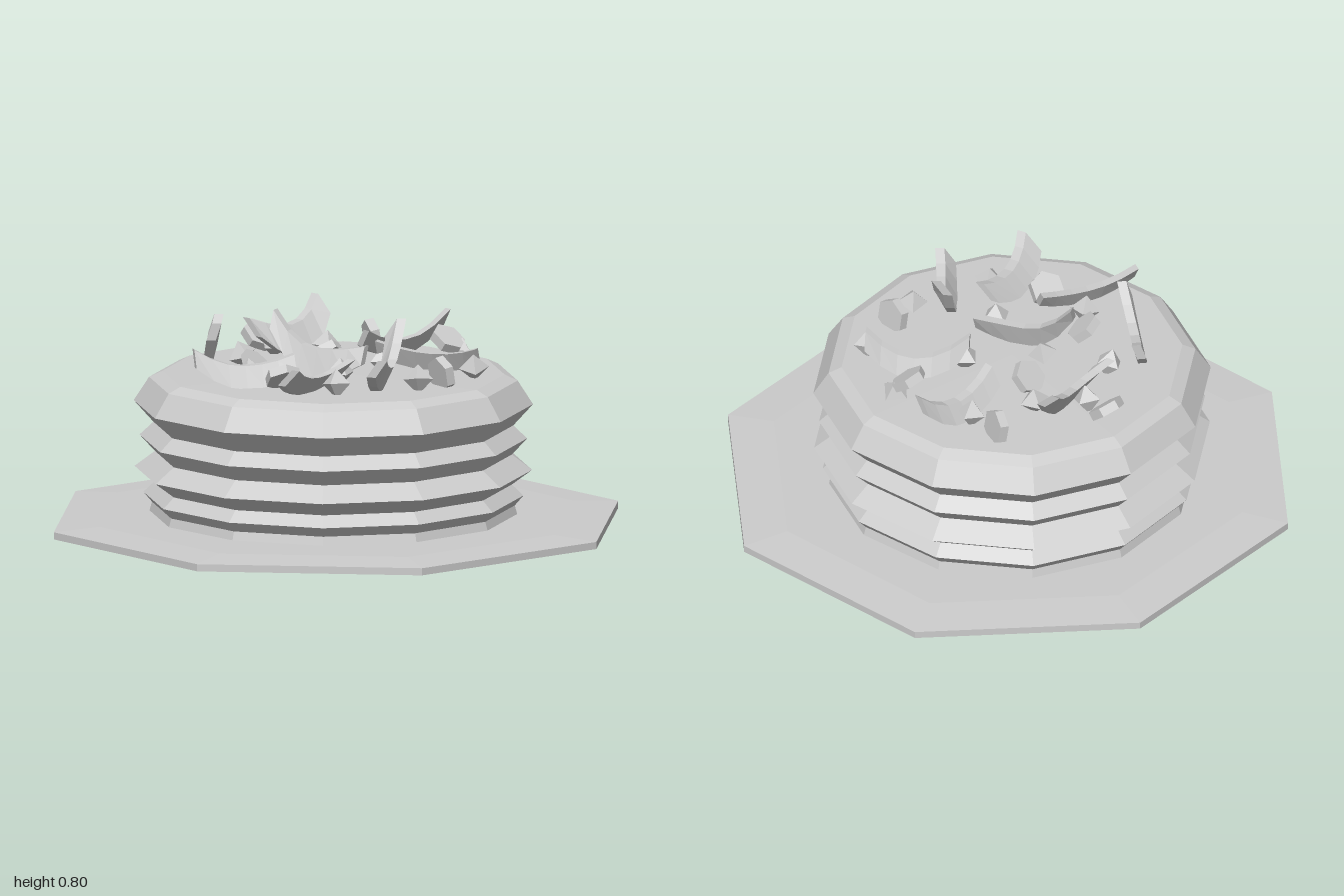
import * as THREE from 'three';

const material = new THREE.MeshStandardMaterial({ color: 0xcccccc, flatShading: true, side: THREE.DoubleSide });

function add(parent, name, geometry) {
  const mesh = new THREE.Mesh(geometry, material);
  mesh.name = name;
  parent.add(mesh);
  return mesh;
}

const lathe = (points, sides, start = 0) =>
  new THREE.LatheGeometry(points.map(([r, y]) => new THREE.Vector2(r, y)), sides, start);

// Upturned curved shaving between two raised ends [x, z, top y]
function shavingGeometry(a, b, bow, lean, midTop) {
  const steps = 6, thick = 0.032, pos = [], index = [];
  const dx = b[0] - a[0], dz = b[1] - a[1], len = Math.hypot(dx, dz);
  const nx = -dz / len, nz = dx / len;
  for (let i = 0; i <= steps; i++) {
    const t = i / steps, s = (2 * t - 1) ** 2;
    const end = t < 0.5 ? a[2] : b[2];
    const top = midTop + (end - midTop) * s;
    const bottom = 0.575 + (end - 0.06 - 0.575) * s;
    const side = bow * (1 - s);
    for (const [u, v] of [[-1, 0], [1, 0], [1, 1], [-1, 1]]) {
      const off = side + u * thick / 2 + (v - 0.5) * lean;
      pos.push(a[0] + dx * t + nx * off, v ? top : bottom, a[1] + dz * t + nz * off);
    }
  }
  for (let i = 0; i < steps; i++) {
    for (let k = 0; k < 4; k++) {
      const p = i * 4 + k, q = i * 4 + (k + 1) % 4;
      index.push(p, q, p + 4, q, q + 4, p + 4);
    }
  }
  const e = steps * 4;
  index.push(0, 2, 1, 0, 3, 2, e, e + 1, e + 2, e, e + 2, e + 3);
  const g = new THREE.BufferGeometry();
  g.setAttribute('position', new THREE.Float32BufferAttribute(pos, 3));
  g.setIndex(index);
  g.computeVertexNormals();
  return g;
}

export function createModel() {
  const model = new THREE.Group();
  model.name = 'layeredCake';

  // Eight-sided plate with a shallow sloping underside
  add(model, 'plate', lathe([
    [0, 0], [0.4, 0], [0.83, 0.048], [1.015, 0.055], [1.015, 0.08], [0.85, 0.09], [0, 0.09],
  ], 8, -0.172));

  // Stack of thin layers, each one bulging to a sharp edge
  const cake = add(model, 'cakeLayers', lathe([
    [0, 0.085], [0.635, 0.085], [0.625, 0.12],
    [0.655, 0.155], [0.615, 0.193],
    [0.685, 0.245], [0.615, 0.298],
    [0.668, 0.355], [0.62, 0.4],
    [0.688, 0.475], [0.635, 0.557], [0.59, 0.578], [0, 0.582],
  ], 12));
  cake.position.set(0.005, 0, -0.03);

  // Curved shavings: end, end, sideways bow, lean, height at the middle
  const shavings = new THREE.Group();
  shavings.name = 'shavings';
  model.add(shavings);
  [
    [[-0.13, -0.38, 0.72], [0.19, -0.49, 0.76], 0.04, -0.06, 0.68],
    [[-0.41, -0.12, 0.77], [-0.25, -0.42, 0.74], -0.02, 0.02, 0.66],
    [[0.19, -0.17, 0.69], [0.53, -0.22, 0.73], -0.02, 0.04, 0.64],
    [[-0.16, -0.16, 0.79], [0.05, 0.12, 0.69], 0.02, -0.03, 0.67],
    [[-0.55, 0.01, 0.71], [-0.21, 0.1, 0.68], 0.02, -0.04, 0.65],
    [[0.15, 0.02, 0.69], [0.41, 0.27, 0.68], -0.08, 0.03, 0.64],
    [[-0.38, 0.39, 0.69], [-0.09, 0.24, 0.68], -0.03, 0.06, 0.64],
    [[-0.08, 0.47, 0.71], [0.12, 0.22, 0.8], -0.01, 0.04, 0.66],
  ].forEach((s) => add(shavings, 'shaving', shavingGeometry(...s)));

  // Small eight-faced crumbs
  const crumbs = new THREE.Group();
  crumbs.name = 'crumbs';
  model.add(crumbs);
  const crumbGeometry = new THREE.OctahedronGeometry(0.052);
  [
    [-0.21, -0.3], [0.13, -0.33], [-0.06, -0.12], [-0.33, 0], [0.35, -0.26], [0.48, 0],
    [-0.06, 0.15], [0.39, 0.28], [0.12, 0.39], [-0.17, 0.34], [-0.02, -0.43], [0.17, 0.02],
  ].forEach(([x, z], i) => {
    const crumb = add(crumbs, 'crumb', crumbGeometry);
    crumb.position.set(x, 0.615, z);
    crumb.rotation.set(0.35 * Math.sin(i * 2), i * 1.3, 0.35 * Math.cos(i * 3));
  });

  // Six-sided chips, lying, leaning or standing: x, y, z, tilt, turn
  const chips = new THREE.Group();
  chips.name = 'chips';
  model.add(chips);
  const chipGeometry = new THREE.CylinderGeometry(0.062, 0.062, 0.032, 6);
  [
    [-0.03, 0.63, -0.53, 0.7, 0.2], [0.06, 0.61, -0.2, -0.8, 0.3],
    [-0.26, 0.62, -0.09, 0.7, 0.8], [-0.29, 0.62, 0.17, -0.7, -0.2],
    [0.33, 0.62, -0.38, 1.4, 1.4], [0.225, 0.62, 0.36, 1.4, 1.7],
    [0.44, 0.66, -0.02, 0.6, 0.4],
  ].forEach(([x, y, z, tilt, turn]) => {
    const chip = add(chips, 'chip', chipGeometry);
    chip.position.set(x, y, z);
    chip.rotation.set(tilt, turn, 0, 'YXZ');
  });

  return model;
}
